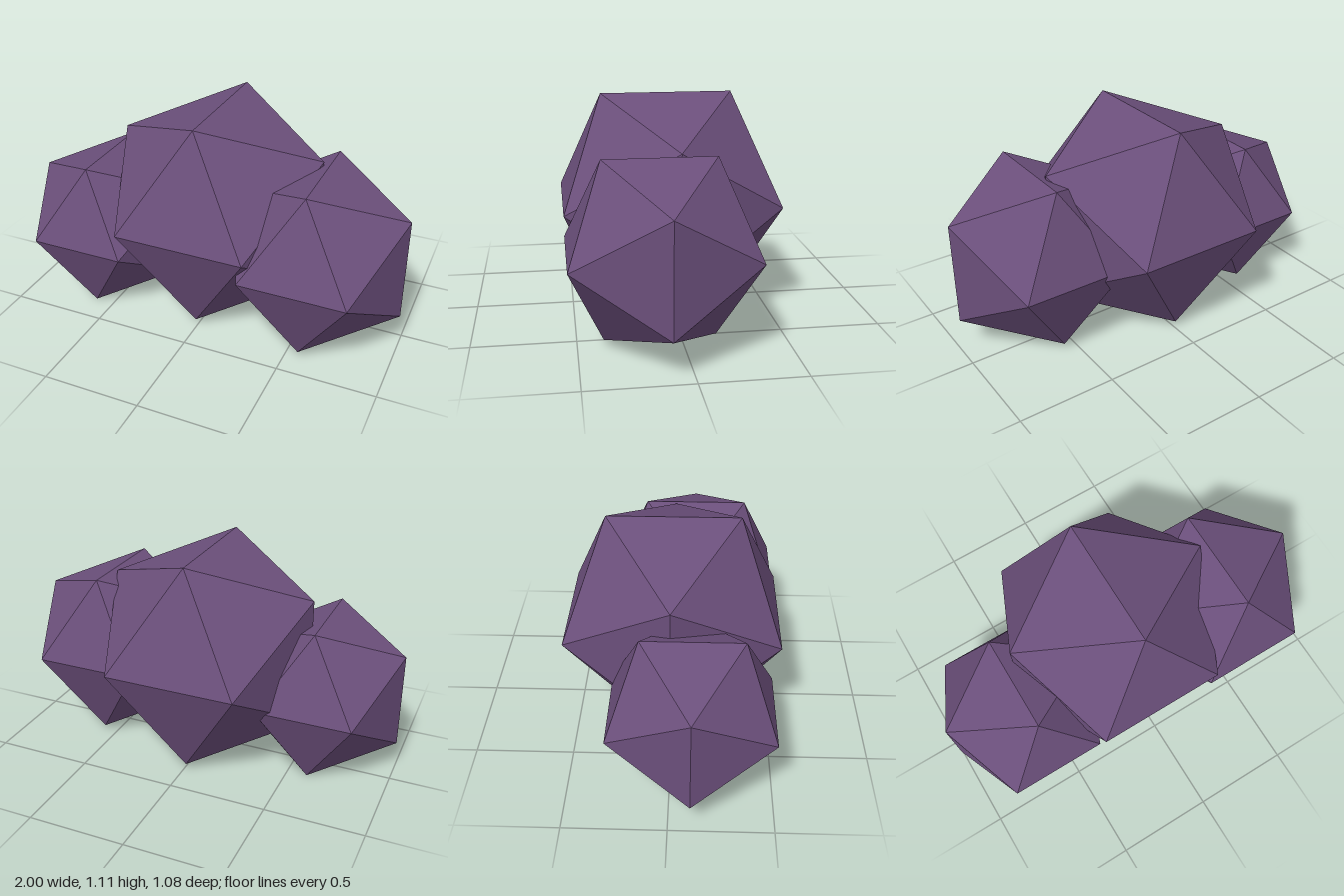
import * as THREE from 'three';

export function createModel() {
  const group = new THREE.Group();
  group.name = 'rockCluster';
  const stone = new THREE.MeshStandardMaterial({ color: 0x6b4f7b, flatShading: true });
  stone.name = 'purple stone';

  // Each rock is an icosahedron turned so its top edge runs front to back
  const addRock = (name, radius, x, y, z) => {
    const rock = new THREE.Mesh(new THREE.IcosahedronGeometry(radius, 0), stone);
    rock.name = name;
    rock.rotation.y = Math.PI / 2;
    rock.position.set(x, y, z);
    group.add(rock);
  };

  addRock('largeMiddleRock', 0.636, -0.01, 0.571, 0);
  addRock('mediumLeftRock', 0.511, 0.565, 0.465, 0.106);
  addRock('smallRightRock', 0.467, -0.603, 0.398, 0.104);

  return group;
}
